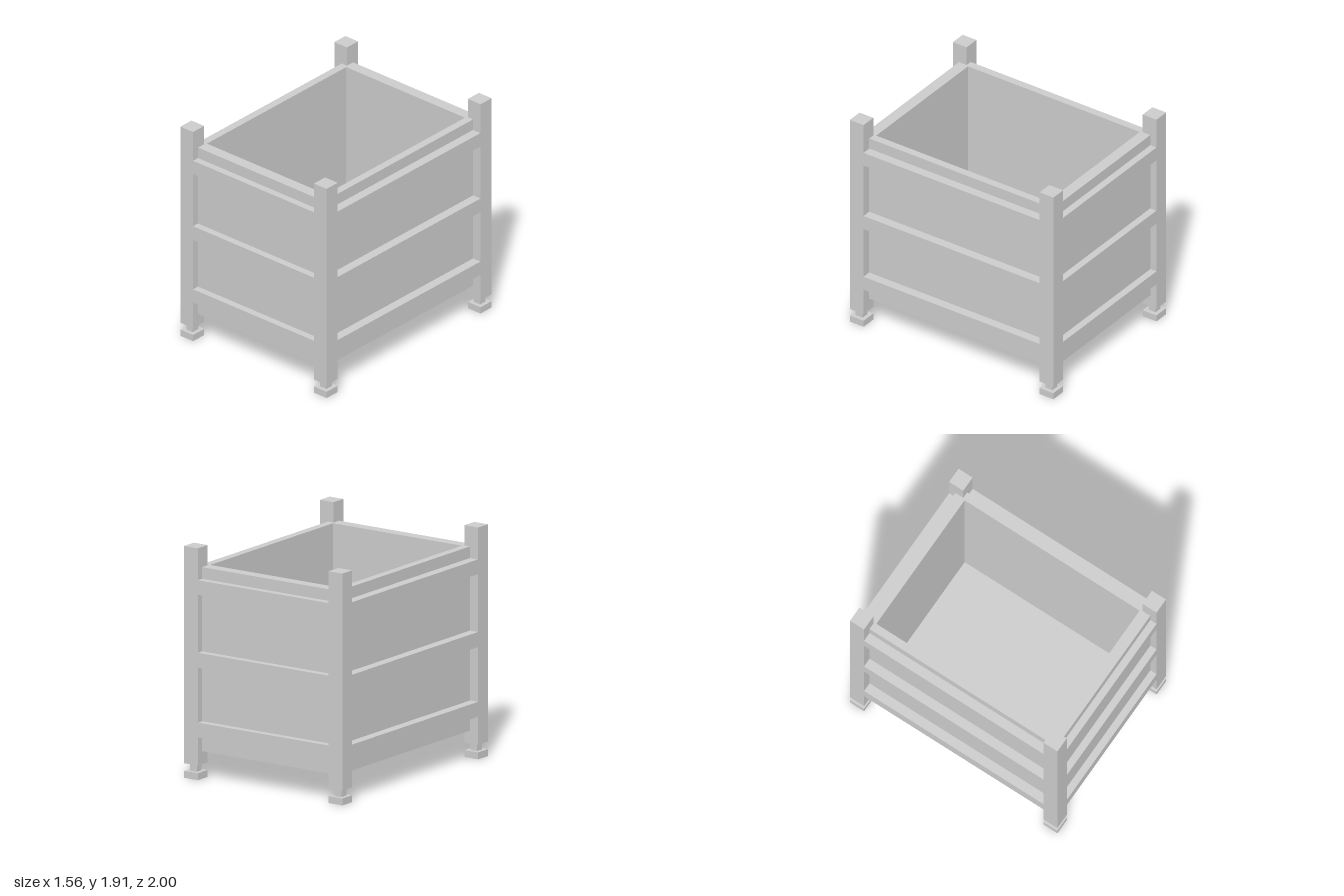
import * as THREE from 'three';

export function createModel() {
  const model = new THREE.Group();
  const material = new THREE.MeshStandardMaterial({ color: 0xcccccc, flatShading: true });
  const W = 0.78, D = 1.0;            // half width and depth over the posts
  const P = 0.135;                    // post thickness
  const binW = 0.701, binD = 0.94;    // outer half sizes of the bin
  const inW = 0.634, inD = 0.844;     // inner half sizes of the bin

  function add(name, geometry, parent = model) {
    const mesh = new THREE.Mesh(geometry, material);
    mesh.name = name;
    parent.add(mesh);
    return mesh;
  }
  // box given by its centre in x and z and its bottom and top heights
  function box(name, w, d, y0, y1, x, z, parent) {
    const mesh = add(name, new THREE.BoxGeometry(w, y1 - y0, d), parent);
    mesh.position.set(x, (y0 + y1) / 2, z);
    return mesh;
  }
  function rectangle(path, w, d) {
    path.moveTo(-w, -d);
    path.lineTo(w, -d);
    path.lineTo(w, d);
    path.lineTo(-w, d);
    path.closePath();
    return path;
  }

  // open-topped bin: wall ring and floor plate
  const bottom = 0.227, floorTop = 0.3, rim = 1.747;
  const ring = rectangle(new THREE.Shape(), binW, binD);
  ring.holes.push(rectangle(new THREE.Path(), inW, inD));
  const walls = new THREE.ExtrudeGeometry(ring, { depth: rim - bottom, bevelEnabled: false });
  walls.rotateX(-Math.PI / 2);
  add('binWalls', walls).position.y = bottom;
  box('binFloor', inW * 2, inD * 2, bottom, floorTop, 0, 0);

  // corner posts with stems and foot pads
  for (const sx of [-1, 1]) {
    for (const sz of [-1, 1]) {
      const corner = new THREE.Group();
      corner.name = (sz > 0 ? 'front' : 'back') + (sx > 0 ? 'Left' : 'Right') + 'Post';
      corner.position.set(sx * (W - P / 2), 0, sz * (D - P / 2));
      model.add(corner);
      box('post', P, P, 0.12, 1.914, 0, 0, corner);
      box('footStem', 0.068, 0.068, 0.057, 0.12, 0, 0, corner);
      box('footPad', P, P, 0, 0.057, 0, 0, corner);
    }
  }

  // three rails on every side, flush with the posts
  const levels = [[0.353, 0.475], [0.928, 1.052], [1.53, 1.651]];
  for (const [y0, y1] of levels) {
    for (const s of [-1, 1]) {
      box(s > 0 ? 'frontRail' : 'backRail', 2 * (W - P), D - binD, y0, y1, 0, s * (D + binD) / 2);
      box(s > 0 ? 'leftRail' : 'rightRail', W - binW, 2 * (D - P), y0, y1, s * (W + binW) / 2, 0);
    }
  }
  return model;
}
